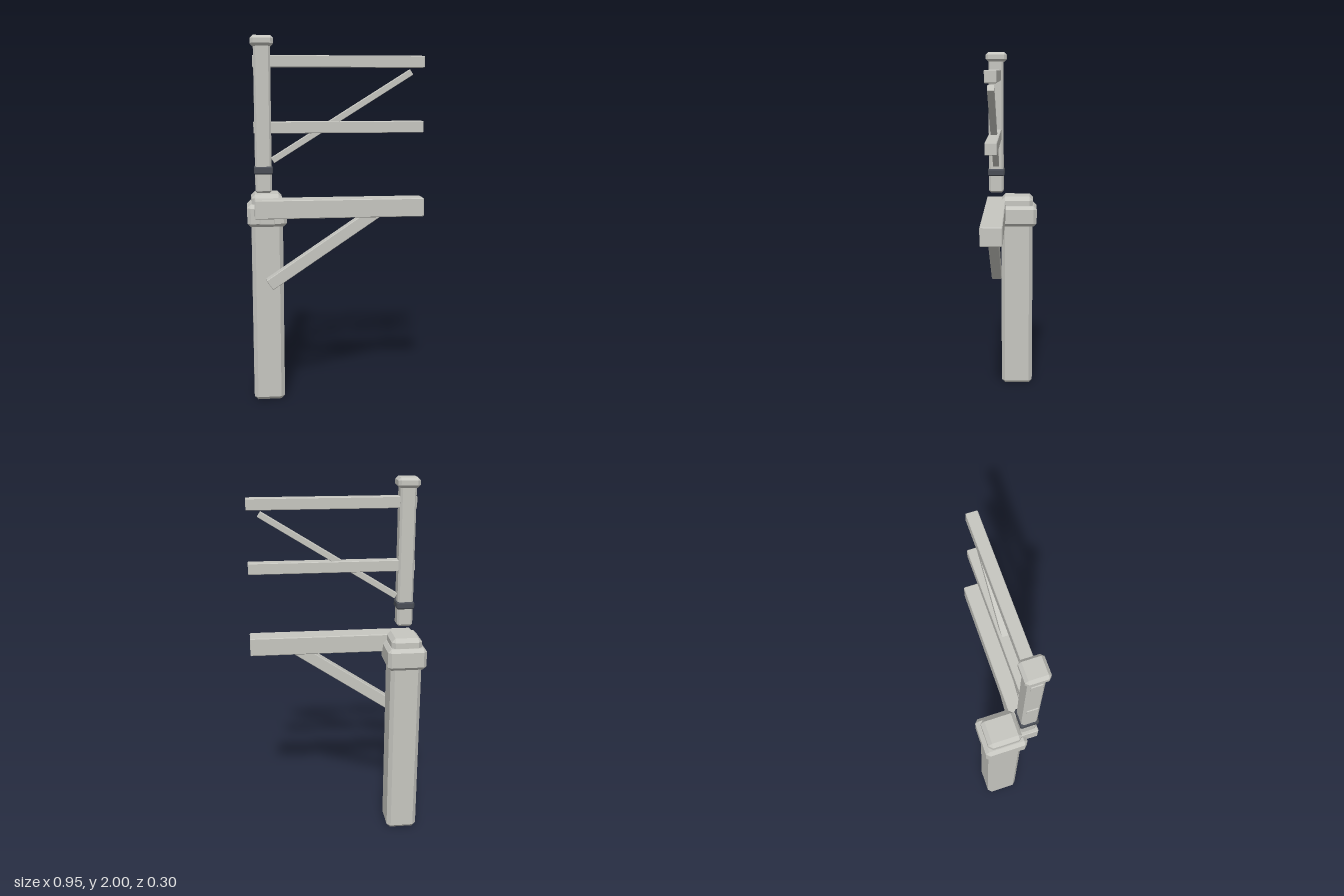
import * as THREE from 'three';
import { ConvexGeometry } from 'three/addons/geometries/ConvexGeometry.js';

const stone = new THREE.MeshStandardMaterial({ color: 0xc6c6c0 });
stone.name = 'pale grey';
const iron = new THREE.MeshStandardMaterial({ color: 0x4a4e56 });
iron.name = 'dark slate';

// Box with every edge cut by a flat chamfer c
function chamferBox(w, h, d, c) {
  const points = [];
  for (const x of [-1, 1]) for (const y of [-1, 1]) for (const z of [-1, 1]) {
    for (const [a, b, e] of [[0, c, c], [c, 0, c], [c, c, 0]]) {
      points.push(new THREE.Vector3(x * (w / 2 - a), y * (h / 2 - b), z * (d / 2 - e)));
    }
  }
  return new ConvexGeometry(points);
}

export function createModel() {
  const model = new THREE.Group();
  model.name = 'signpost';

  // Chamfered block given by its extents on each axis
  function block(name, [x0, x1], [y0, y1], [z0, z1], c, material = stone) {
    const mesh = new THREE.Mesh(chamferBox(x1 - x0, y1 - y0, z1 - z0, c), material);
    mesh.position.set((x0 + x1) / 2, (y0 + y1) / 2, (z0 + z1) / 2);
    mesh.name = name;
    model.add(mesh);
  }

  // Diagonal bar between two points in the beam's plane
  function brace(name, [x0, y0], [x1, y1], thick, depth, c) {
    const length = Math.hypot(x1 - x0, y1 - y0);
    const mesh = new THREE.Mesh(chamferBox(length, thick, depth, c), stone);
    mesh.position.set((x0 + x1) / 2, (y0 + y1) / 2, 0.09);
    mesh.rotation.z = Math.atan2(y1 - y0, x1 - x0);
    mesh.name = name;
    model.add(mesh);
  }

  // Lower post with its collar and cap
  block('mainPost', [-0.455, -0.284], [0, 1.06], [-0.127, 0.059], 0.021);
  block('postCollar', [-0.477, -0.263], [0.995, 1.117], [-0.15, 0.081], 0.019);
  block('postCap', [-0.453, -0.286], [1.06, 1.17], [-0.128, 0.058], 0.021);

  // Cantilever beam, its seat and its brace
  block('beam', [-0.437, 0.473], [1.05, 1.15], [0.033, 0.147], 0.004);
  block('beamSeat', [-0.412, -0.33], [1.013, 1.12], [0.04, 0.115], 0.004);
  brace('beamBrace', [-0.363, 0.682], [0.23, 1.08], 0.064, 0.058, 0.003);

  // Upper post with iron band and cap
  block('upperPost', [-0.431, -0.344], [1.188, 1.97], [0.047, 0.133], 0.011);
  block('upperCap', [-0.447, -0.328], [1.945, 2], [0.028, 0.147], 0.015);
  block('ironBand', [-0.437, -0.338], [1.288, 1.328], [0.041, 0.139], 0.006, iron);

  // Two rails and the diagonal between them
  for (const y of [1.5, 1.84]) {
    block('rail', [-0.436, 0.468], [y, y + 0.061], [0.059, 0.119], 0.003);
  }
  brace('railBrace', [-0.338, 1.357], [0.401, 1.817], 0.032, 0.035, 0.002);

  return model;
}
